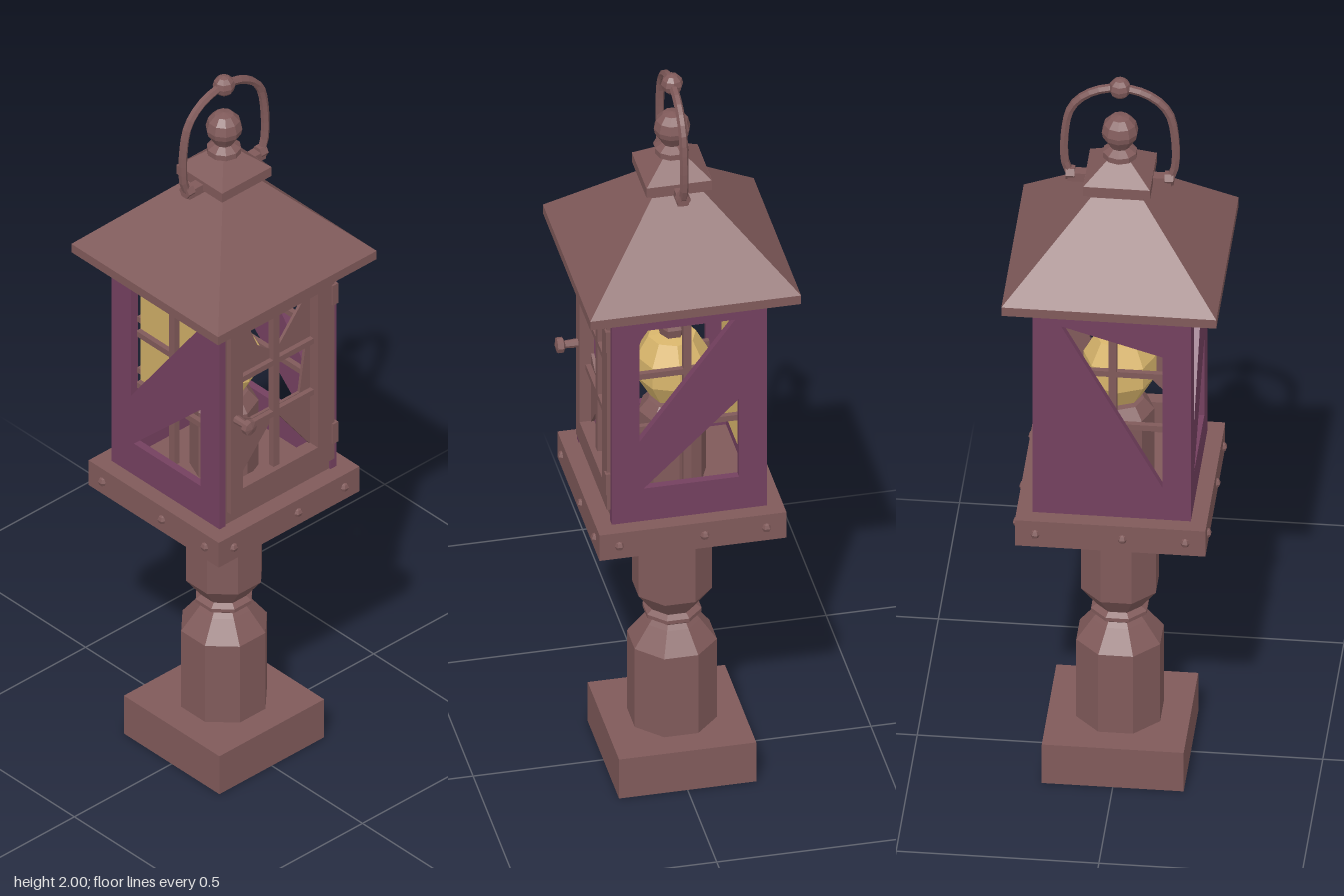
import * as THREE from 'three';

export function createModel() {
  const model = new THREE.Group();
  model.name = 'postLantern';
  const mat = (name, color) => {
    const m = new THREE.MeshStandardMaterial({ color, flatShading: true });
    m.name = name;
    return m;
  };
  const brown = mat('brownWood', 0x805a5a);
  const purple = mat('purplePanel', 0x74405f);
  const yellow = mat('yellowGlass', 0xd9b66c);

  const add = (name, geo, m, x = 0, y = 0, z = 0, parent = model) => {
    const mesh = new THREE.Mesh(geo, m);
    mesh.name = name;
    mesh.position.set(x, y, z);
    parent.add(mesh);
    return mesh;
  };
  const box = (name, w, y0, y1, d, m = brown, x = 0, z = 0, parent = model) =>
    add(name, new THREE.BoxGeometry(w, y1 - y0, d), m, x, (y0 + y1) / 2, z, parent);
  const lathe = (name, pts, sides, m, turn = 0) => {
    const geo = new THREE.LatheGeometry(pts.map(p => new THREE.Vector2(...p)), sides);
    return add(name, geo.rotateY(turn), m);
  };
  // Square tapered block given by its half widths
  const frustum = (name, top, bottom, y0, y1) => {
    const geo = new THREE.CylinderGeometry(top * Math.SQRT2, bottom * Math.SQRT2, y1 - y0, 4);
    return add(name, geo.rotateY(Math.PI / 4), brown, 0, (y0 + y1) / 2, 0);
  };
  // Upright plate with openings, drawn in x and y, its back at z = 0
  const plate = (name, x0, x1, y0, y1, holes, depth, m, parent) => {
    const path = (p) => p.map(q => new THREE.Vector2(...q));
    const shape = new THREE.Shape(path([[x0, y0], [x1, y0], [x1, y1], [x0, y1]]));
    holes.forEach(h => shape.holes.push(new THREE.Path(path(h))));
    return add(name, new THREE.ExtrudeGeometry(shape, { depth, bevelEnabled: false }), m, 0, 0, 0, parent);
  };

  // Foot and turned eight-sided post
  box('foot', 0.35, 0, 0.115, 0.345);
  lathe('post', [
    [0, 0.11], [0.112, 0.11], [0.112, 0.345], [0.07, 0.4], [0.06, 0.412],
    [0.074, 0.422], [0.074, 0.432], [0.06, 0.442], [0.1, 0.495], [0.1, 0.685],
    [0.115, 0.69], [0.115, 0.715], [0.095, 0.73], [0.07, 0.735], [0.07, 0.755],
  ], 8, brown, Math.PI / 8);

  // Platform with nail heads on each side
  box('platform', 0.47, 0.75, 0.825, 0.47);
  for (let i = 0; i < 4; i++) {
    const side = new THREE.Group();
    side.name = 'platformNails';
    side.rotation.y = i * Math.PI / 2;
    for (const x of [-0.185, 0.03, 0.185])
      add('nail', new THREE.SphereGeometry(0.013, 6, 4), brown, x, 0.787, 0.233, side);
    model.add(side);
  }

  // Purple walls with slanted openings
  const sideHoles = [
    [[-0.125, 1.385], [-0.125, 1.06], [0.115, 1.385]],
    [[0.125, 1.15], [-0.115, 0.92], [0.125, 0.92]],
  ];
  const backHole = [[[-0.125, 1.385], [0.125, 0.92], [0.125, 1.31]]];
  [['leftWall', Math.PI / 2, sideHoles], ['rightWall', -Math.PI / 2, sideHoles],
    ['backWall', Math.PI, backHole]].forEach(([name, turn, holes]) => {
    const wall = new THREE.Group();
    wall.name = name;
    wall.rotation.y = turn;
    plate('panel', -0.195, 0.195, 0.825, 1.456, holes, 0.02, purple, wall).position.z = 0.175;
    addBars(wall, 0.166);
    model.add(wall);
  });

  // Window bars
  function addBars(parent, z) {
    box('uprightBar', 0.02, 0.91, 1.4, 0.016, brown, 0, z, parent);
    for (const y of [1.08, 1.235])
      box('crossBar', 0.26, y - 0.008, y + 0.008, 0.014, brown, 0, z, parent);
  }

  // Front wall and raised door
  const doorHoles = [
    [[-0.085, 1.385], [-0.05, 1.3], [0.01, 1.255], [0.12, 1.385]],
    [[-0.122, 1.225], [-0.122, 1.12], [-0.07, 1.09], [0.09, 1.09], [0.11, 1.225]],
    [[-0.122, 0.92], [0.122, 0.92], [0.01, 1.07]],
  ];
  const front = new THREE.Group();
  front.name = 'frontDoor';
  model.add(front);
  const opening = [[[-0.125, 0.92], [0.125, 0.92], [0.125, 1.385], [-0.125, 1.385]]];
  plate('frontWall', -0.193, 0.193, 0.825, 1.456, opening, 0.014, brown, front).position.z = 0.176;
  plate('doorFrame', -0.165, 0.18, 0.86, 1.43, opening, 0.014, brown, front).position.z = 0.19;
  plate('doorPanel', -0.13, 0.13, 0.91, 1.39, doorHoles, 0.008, brown, front).position.z = 0.168;
  addBars(front, 0.182);
  const knob = lathe('doorKnob', [[0, 0], [0.012, 0], [0.01, 0.035], [0.02, 0.04], [0.02, 0.055], [0, 0.06]], 8, brown);
  knob.rotation.x = Math.PI / 2;
  knob.position.set(-0.147, 1.14, 0.202);
  for (const y of [0.94, 1.36]) box('hinge', 0.018, y - 0.03, y + 0.03, 0.012, brown, 0.18, 0.203, front);

  // Yellow back pane, lamp holder and globe
  add('backPane', new THREE.PlaneGeometry(0.27, 0.48), yellow, 0, 1.15, -0.155);
  lathe('lampHolder', [[0, 0.825], [0.085, 0.825], [0.085, 1.02], [0.06, 1.05], [0, 1.06]], 8, brown);
  lathe('lampGlobe', [[0, 1.05], [0.055, 1.06], [0.09, 1.12], [0.09, 1.18], [0.06, 1.235], [0, 1.24]], 8, yellow);
  lathe('lampTop', [[0.03, 1.235], [0.035, 1.26], [0.02, 1.29], [0, 1.3]], 6, brown);

  // Roof, cap and ball finial
  box('eaves', 0.53, 1.455, 1.48, 0.53);
  frustum('roof', 0.065, 0.265, 1.48, 1.685);
  box('roofNeck', 0.13, 1.68, 1.702, 0.13);
  box('capSlab', 0.165, 1.7, 1.727, 0.165);
  frustum('cap', 0.03, 0.082, 1.727, 1.772);
  lathe('finial', [
    [0.03, 1.765], [0.043, 1.772], [0.043, 1.787], [0.024, 1.8], [0.03, 1.81],
    [0.043, 1.83], [0.046, 1.845], [0.04, 1.868], [0.024, 1.885], [0, 1.89],
  ], 10, brown);

  // Hooped carrying handle with pivots
  const pts = [[-0.112, 1.7], [-0.132, 1.73], [-0.136, 1.83], [-0.118, 1.91], [-0.07, 1.955], [0, 1.972]];
  const hoop = pts.concat(pts.slice(0, -1).reverse().map(([x, y]) => [-x, y]));
  const curve = new THREE.CatmullRomCurve3(hoop.map(([x, y]) => new THREE.Vector3(x, y, 0)));
  add('handle', new THREE.TubeGeometry(curve, 28, 0.011, 6), brown);
  add('handleTopKnob', new THREE.SphereGeometry(0.028, 8, 6), brown, 0, 1.972, 0);
  for (const s of [-1, 1]) {
    box('handleLug', 0.055, 1.694, 1.718, 0.028, brown, s * 0.1, 0);
    add('handlePivot', new THREE.CylinderGeometry(0.018, 0.018, 0.022, 6).rotateZ(Math.PI / 2), brown, s * 0.122, 1.712, 0);
  }
  return model;
}
